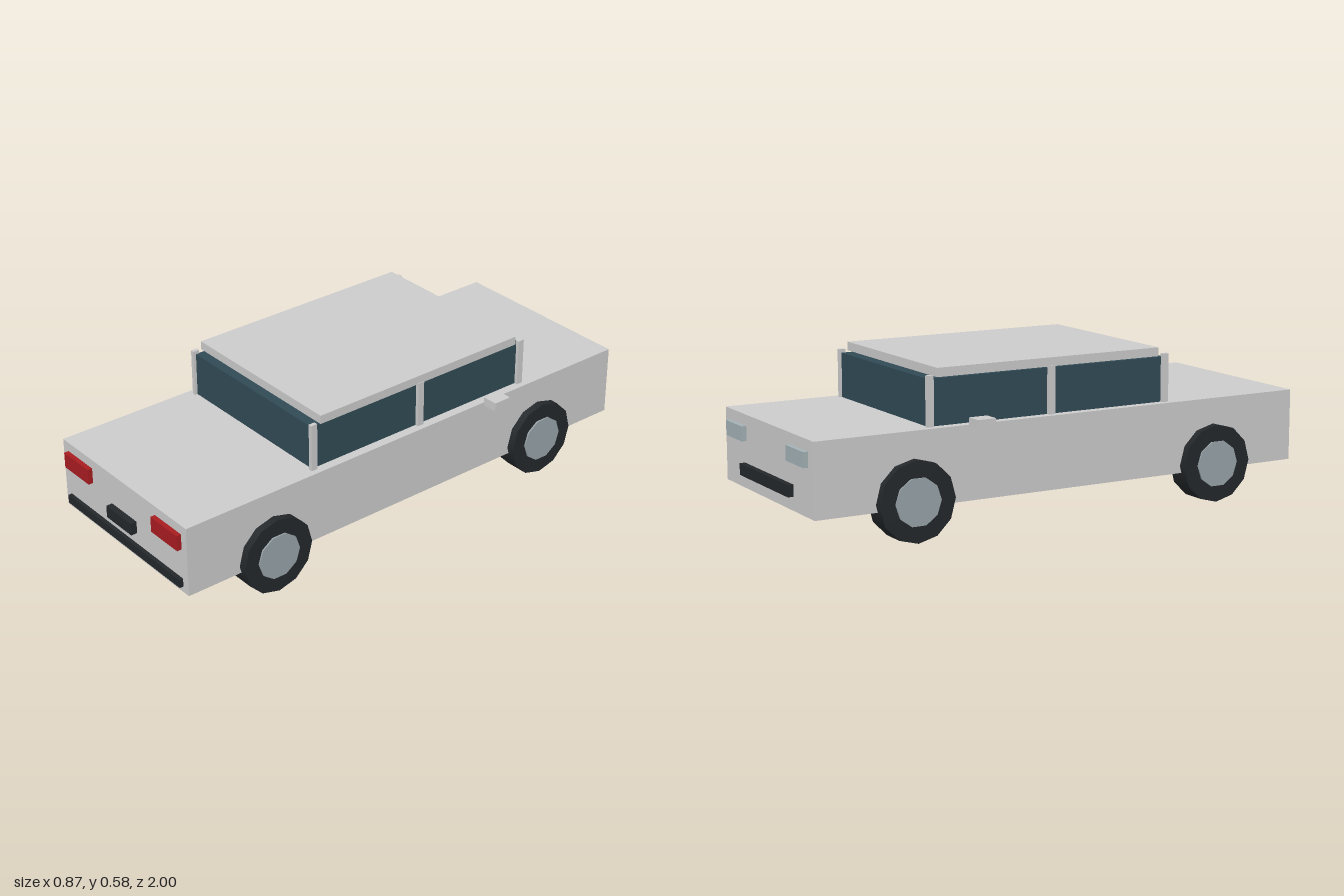
import * as THREE from 'three';

const mat = (color) => new THREE.MeshStandardMaterial({ color });

export function createModel() {
  const car = new THREE.Group();
  car.name = 'car';

  const paint = mat(0xcccccc);
  const glass = mat(0x314a55);
  const black = mat(0x24282b);
  const red = mat(0xa81c20);
  const lamp = mat(0xa4b2b6);
  const rim = mat(0x98a3a8);

  // Box given by its extents along each axis
  function box(name, material, [x0, x1], [y0, y1], [z0, z1]) {
    const mesh = new THREE.Mesh(new THREE.BoxGeometry(x1 - x0, y1 - y0, z1 - z0), material);
    mesh.position.set((x0 + x1) / 2, (y0 + y1) / 2, (z0 + z1) / 2);
    mesh.name = name;
    car.add(mesh);
  }

  // The same box on both sides
  function boxPair(name, material, [x0, x1], y, z) {
    box(name + 'Left', material, [x0, x1], y, z);
    box(name + 'Right', material, [-x1, -x0], y, z);
  }

  // Cylinder lying along x
  function disc(name, material, radius, width, sides) {
    const geometry = new THREE.CylinderGeometry(radius, radius, width, sides).rotateZ(Math.PI / 2);
    const mesh = new THREE.Mesh(geometry, material);
    mesh.name = name;
    return mesh;
  }

  // Body and cabin
  box('body', paint, [-0.37, 0.37], [0.118, 0.383], [-0.979, 0.976]);
  box('windows', glass, [-0.335, 0.335], [0.38, 0.547], [-0.538, 0.426]);
  box('roof', paint, [-0.345, 0.345], [0.552, 0.584], [-0.507, 0.394]);

  // Corner pillars and the thinner-topped middle pillars
  for (const z of [0.424, -0.534]) {
    boxPair('cornerPillar', paint, [0.333, 0.348], [0.38, 0.56], [z - 0.0125, z + 0.0125]);
  }
  boxPair('middlePillar', paint, [0.333, 0.348], [0.38, 0.556], [-0.067, -0.041]);

  // Side mirrors
  boxPair('mirror', paint, [0.377, 0.437], [0.377, 0.41], [-0.402, -0.331]);

  // End with the red lamps
  boxPair('redLamp', red, [0.19, 0.34], [0.289, 0.348], [0.97, 0.994]);
  box('plate', black, [-0.074, 0.074], [0.217, 0.263], [0.97, 1]);
  box('bumper', black, [-0.34, 0.34], [0.141, 0.173], [0.97, 0.991]);

  // End with the clear lamps
  boxPair('clearLamp', lamp, [0.187, 0.327], [0.289, 0.343], [-0.997, -0.97]);
  box('grille', black, [-0.205, 0.205], [0.167, 0.209], [-1, -0.97]);

  // Wheels
  for (const z of [0.622, -0.611]) {
    for (const side of [1, -1]) {
      const wheel = new THREE.Group();
      wheel.name = 'wheel';
      wheel.add(disc('tyre', black, 0.144, 0.092, 12), disc('hub', rim, 0.0865, 0.104, 10));
      wheel.position.set(side * 0.353, 0.144, z);
      car.add(wheel);
    }
  }

  return car;
}
